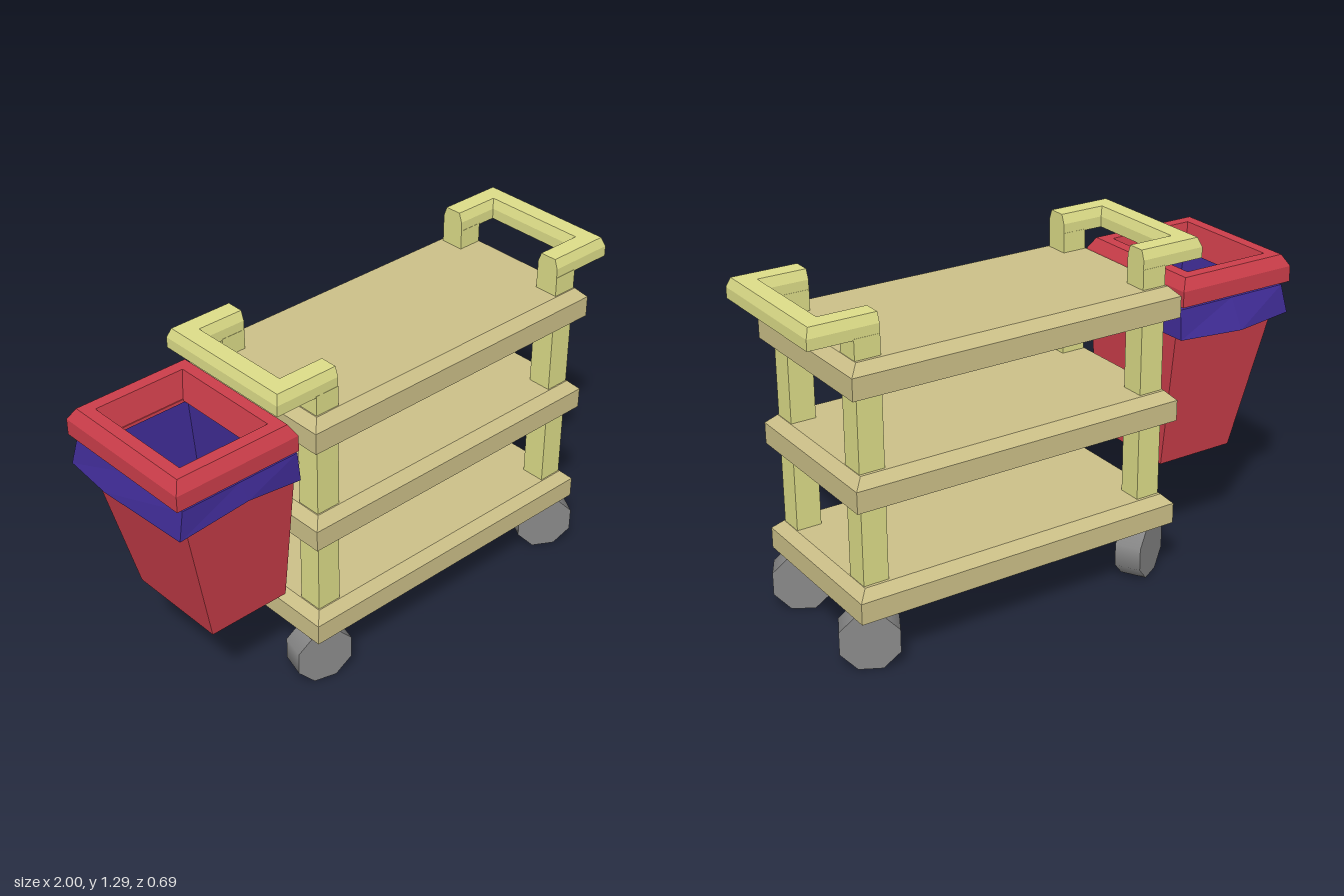
import * as THREE from 'three';

const paint = (color) => new THREE.MeshStandardMaterial({ color, flatShading: true });
const shelfMat = paint(0xccc088), frameMat = paint(0xdddd88), redMat = paint(0xcc3e4a);
const bagMat = paint(0x402c96), floorMat = paint(0x999999);
bagMat.side = floorMat.side = THREE.DoubleSide;
const wheelMat = new THREE.MeshStandardMaterial({ color: 0x888888 });

// Joins rings of equal point count; ends are 'cap' (filled), 'wrap' (joined) or 'open'.
function loft(rings, ends) {
  const pos = [];
  const tri = (a, b, c) => pos.push(...a, ...b, ...c);
  const n = rings[0].length;
  const list = ends === 'wrap' ? [...rings, rings[0]] : rings;
  for (let i = 0; i + 1 < list.length; i++) {
    for (let j = 0; j < n; j++) {
      const k = (j + 1) % n;
      tri(list[i][j], list[i][k], list[i + 1][k]);
      tri(list[i][j], list[i + 1][k], list[i + 1][j]);
    }
  }
  if (ends === 'cap') {
    const first = rings[0], last = rings[rings.length - 1];
    for (let j = 1; j + 1 < n; j++) {
      tri(first[0], first[j + 1], first[j]);
      tri(last[0], last[j], last[j + 1]);
    }
  }
  const geo = new THREE.BufferGeometry();
  geo.setAttribute('position', new THREE.Float32BufferAttribute(pos, 3));
  geo.computeVertexNormals();
  return geo;
}

// Horizontal rectangle, counter-clockwise from above, shrunk by an inset.
const rect = (x0, x1, z0, z1, y, s = 0) => [
  [x0 + s, y, z1 - s], [x1 - s, y, z1 - s], [x1 - s, y, z0 + s], [x0 + s, y, z0 + s],
];

export function createModel() {
  const model = new THREE.Group();
  const add = (parent, name, geo, mat) => {
    const mesh = new THREE.Mesh(geo, mat);
    mesh.name = name;
    parent.add(mesh);
    return mesh;
  };

  // Three shelves with a chamfered top edge
  for (const y of [0.213, 0.63, 1.03]) {
    const profile = [[0, 0], [0, 0.08], [0.035, 0.115]];
    add(model, 'shelf', loft(profile.map(([s, h]) => rect(-0.45, 0.87, -0.333, 0.327, y + h, s)), 'cap'), shelfMat);
  }

  // Corner posts
  for (const x of [-0.363, 0.785]) {
    for (const z of [-0.24, 0.24]) {
      const post = add(model, 'post', new THREE.BoxGeometry(0.096, 0.92, 0.094), frameMat);
      post.position.set(x, 0.76, z);
    }
  }

  // U-shaped push handles with mitred corners and a chamfered top
  const section = [[0.046, 1.215], [-0.046, 1.215], [-0.046, 1.255], [-0.033, 1.29], [0.033, 1.29], [0.046, 1.255]];
  const path = [[0, 0.24, 0, 1], [0.215, 0.24, 1, 1], [0.215, -0.24, 1, -1], [0, -0.24, 0, -1]];
  const handleGeo = loft(path.map(([x, z, ox, oz]) => section.map(([o, y]) => [x + o * ox, y, z + o * oz])), 'cap');
  add(model, 'handle', handleGeo, frameMat).position.x = 0.737;
  const leftHandle = add(model, 'handle', handleGeo, frameMat);
  leftHandle.position.x = -0.315;
  leftHandle.rotation.y = Math.PI;

  // Eight-sided castor wheels, each swivelled: x, z, yaw in degrees
  const wheelGeo = new THREE.CylinderGeometry(0.114, 0.114, 0.1, 8).rotateY(Math.PI / 8).rotateX(Math.PI / 2);
  for (const [x, z, yaw] of [[0.795, 0.247, -30], [0.795, -0.243, -28], [-0.378, 0.247, -15], [-0.36, -0.247, 30]]) {
    const wheel = add(model, 'wheel', wheelGeo, wheelMat);
    wheel.position.set(x, 0.106, z);
    wheel.rotation.y = THREE.MathUtils.degToRad(yaw);
  }

  // Waste bin hung on the end of the cart
  const bin = new THREE.Group();
  bin.name = 'wasteBin';
  model.add(bin);

  // Cross-section of the bin at height y: straight inner side, other sides flaring
  const binRing = (y, inset) => {
    const t = (y - 0.39) / 0.655;
    const z = 0.2 + 0.075 * t;
    return rect(-0.815 - 0.155 * t, -0.49, -z, z, y, inset);
  };
  add(bin, 'binBody', loft([
    binRing(0.39, 0), binRing(1.0, 0), binRing(1.05, 0.06), binRing(1.05, 0.075), binRing(0.39, 0.045),
  ], 'wrap'), redMat);

  // Thick rim with a chamfered outer edge and a sloping inner edge
  const rim = [[0, 1.045], [0, 1.105], [0.025, 1.148], [0.07, 1.148], [0.095, 1.045]];
  add(bin, 'binRim', loft(rim.map(([s, y]) => rect(-0.99, -0.49, -0.298, 0.288, y, s)), 'wrap'), redMat);

  // Bag lining and the floor inside the bin
  add(bin, 'bagLining', loft([binRing(0.42, 0.052), binRing(1.045, 0.082)], 'open'), bagMat);
  add(bin, 'binFloor', loft([binRing(0.415, 0.05), binRing(0.425, 0.05)], 'cap'), floorMat);

  // Bag edge folded over the outside, with an uneven hem
  const hem = [
    [-0.985, 0.925, 0.285], [-0.71, 0.955, 0.293], [-0.48, 0.92, 0.283], [-0.48, 0.917, 0],
    [-0.48, 0.925, -0.305], [-0.74, 0.917, -0.33], [-0.985, 0.925, -0.3], [-1.0, 0.92, -0.1],
  ];
  const fold = (y, s) => rect(-0.965, -0.49, -0.283, 0.28, y, s).flatMap((p, i, r) => {
    const q = r[(i + 1) % 4];
    return [p, p.map((v, k) => (v + q[k]) / 2)];
  });
  add(bin, 'bagFold', loft([hem, fold(1.033, 0), fold(1.037, 0.07)], 'open'), bagMat);

  return model;
}
